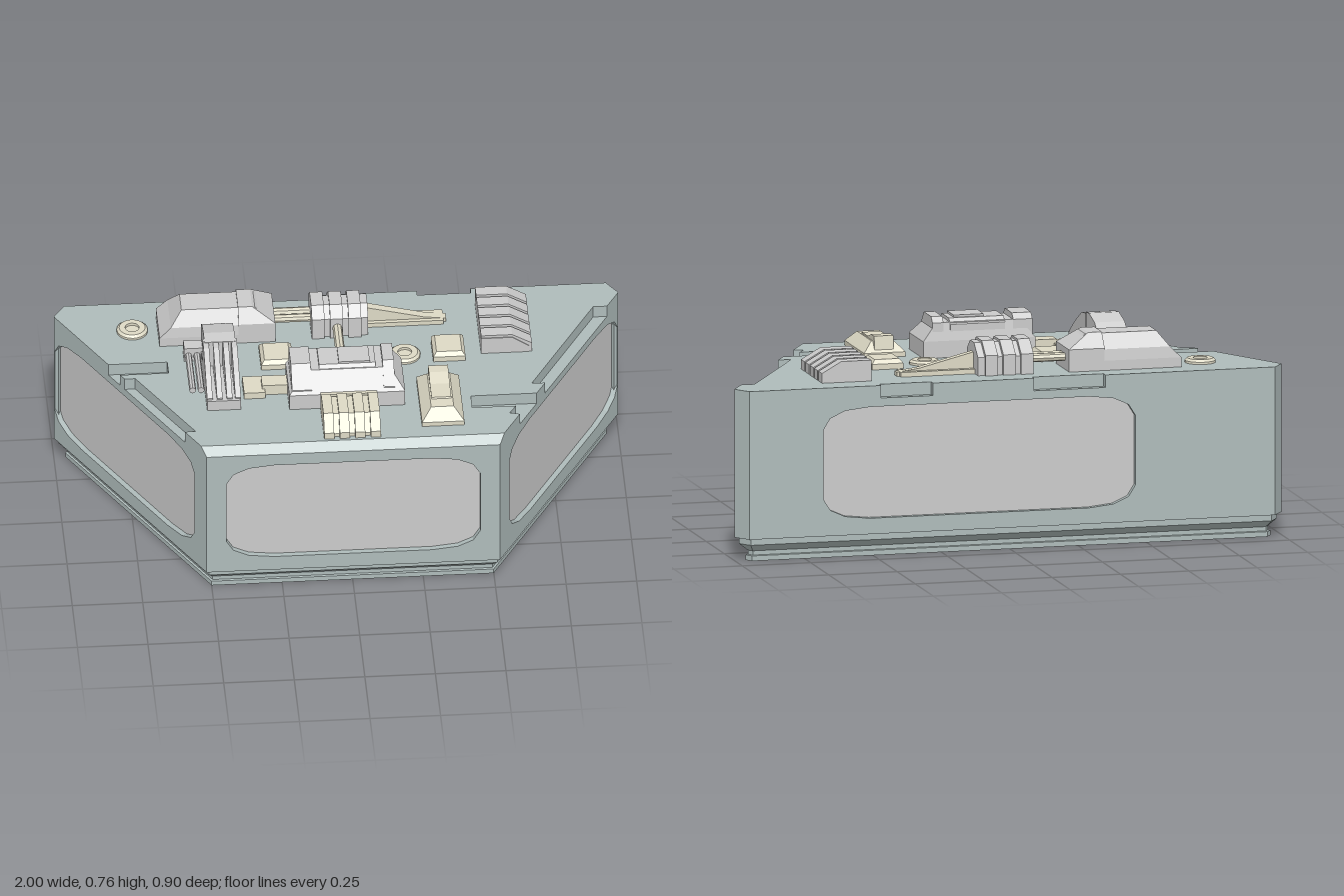
import * as THREE from 'three';

const mat = (color) => new THREE.MeshStandardMaterial({ color, flatShading: true });
const HULL = mat(0xafbcbb), GREY = mat(0xcccccc), BEIGE = mat(0xdedac6);
const ROOF = 0.615;

function add(parent, name, geometry, material) {
  const mesh = new THREE.Mesh(geometry, material);
  mesh.name = name;
  parent.add(mesh);
  return mesh;
}

// Closed solid through stacked rings of [x, y, z] points
function loft(rings) {
  const pos = [], n = rings[0].length, top = rings[rings.length - 1], low = rings[0];
  const tri = (...p) => p.forEach((q) => pos.push(...q));
  for (let i = 0; i + 1 < rings.length; i++) {
    for (let j = 0; j < n; j++) {
      const k = (j + 1) % n, a = rings[i], b = rings[i + 1];
      tri(a[j], a[k], b[k]);
      tri(a[j], b[k], b[j]);
    }
  }
  for (let j = 1; j + 1 < n; j++) {
    tri(top[0], top[j], top[j + 1]);
    tri(low[0], low[j + 1], low[j]);
  }
  const g = new THREE.BufferGeometry();
  g.setAttribute('position', new THREE.Float32BufferAttribute(pos, 3));
  g.computeVertexNormals();
  return g;
}

// Hull outline moved inwards by d, at height y
function outline(d, y) {
  const half = [[0.52 - 0.58 * d, 0.45 - d], [1 - 1.175 * d, -0.39 + 0.04 * d], [0.96 - 0.535 * d, -0.45 + d]];
  const mirrored = half.map(([x, z]) => [-x, z]).reverse();
  return [...half, ...mirrored].map(([x, z]) => [x, y, z]);
}
const edgeX = (z) => 1 - 0.5714 * (z + 0.39);

// Stepped or tapered block: each level is [x0, x1, z0, z1, y]
const block = (...levels) => loft(levels.map(([x0, x1, z0, z1, y]) =>
  [[x1, y, z1], [x1, y, z0], [x0, y, z0], [x0, y, z1]]));
const box = (x0, x1, z0, z1, y1, y0 = ROOF) => block([x0, x1, z0, z1, y0], [x0, x1, z0, z1, y1]);

const shapeOf = (pts) => new THREE.Shape(pts.map(([a, b]) => new THREE.Vector2(a, b)));
const extrude = (shape, depth) => new THREE.ExtrudeGeometry(shape, { depth, bevelEnabled: false });
// Profile of (z, y) points swept from x0 to x1
const sweepX = (pts, x0, x1) =>
  extrude(shapeOf(pts.map(([z, y]) => [-z, y])), x1 - x0).rotateY(Math.PI / 2).translate(x0, 0, 0);
// Profile of (x, y) points swept from z0 to z1
const sweepZ = (pts, z0, z1) => extrude(shapeOf(pts), z1 - z0).translate(0, 0, z0);

function rod(parent, name, from, to, r, material) {
  const a = new THREE.Vector3(...from), b = new THREE.Vector3(...to);
  const m = add(parent, name, new THREE.CylinderGeometry(r, r, a.distanceTo(b), 8), material);
  m.position.copy(a).add(b).multiplyScalar(0.5);
  m.quaternion.setFromUnitVectors(new THREE.Vector3(0, 1, 0), b.sub(a).normalize());
}

// Wall slab from corner a to corner b, with an optional soft-cornered opening
function wall(parent, name, a, b, opening) {
  const A = new THREE.Vector3(...a), u = new THREE.Vector3(...b).sub(A), len = u.length(), d = 0.02;
  u.normalize();
  const up = new THREE.Vector3(0, 1, 0), n = u.clone().cross(up);
  const shape = shapeOf([[0, 0.085], [len, 0.085], [len, 0.565], [0, 0.565]]);
  if (opening) {
    const [u0, u1] = opening, v0 = 0.14, v1 = 0.54;
    const c = [[0, 0.075], [0.025, 0.035], [0.08, 0.01], [0.17, 0]], r = [...c].reverse();
    shape.holes.push(new THREE.Path([
      ...c.map(([p, q]) => [u0 + p, v0 + q]), ...r.map(([p, q]) => [u1 - p, v0 + q]),
      ...c.map(([p, q]) => [u1 - p, v1 - q]), ...r.map(([p, q]) => [u0 + p, v1 - q]),
    ].map(([p, q]) => new THREE.Vector2(p, q))));
  }
  const g = extrude(shape, d);
  g.applyMatrix4(new THREE.Matrix4().makeBasis(u, up, n).setPosition(A.addScaledVector(n, -d)));
  add(parent, name, g, HULL);
}

function buildHull(g) {
  // Stepped plinth
  add(g, 'plinth', loft([[0.035, 0], [0.035, 0.018], [0.042, 0.02], [0.042, 0.035], [0.015, 0.06],
    [0.015, 0.082], [0, 0.083], [0, 0.09]].map(([d, y]) => outline(d, y))), HULL);
  // Inset core shows through the wall openings as panels
  add(g, 'panelCore', loft([outline(0.02, 0.085), outline(0.02, 0.563)]), GREY);
  const c = outline(0, 0);
  wall(g, 'leftWall', c[0], c[1], [0.075, 0.962]);
  wall(g, 'backLeftChamfer', c[1], c[2]);
  wall(g, 'backWall', c[2], c[3], [0.27, 1.41]);
  wall(g, 'backRightChamfer', c[3], c[4]);
  wall(g, 'rightWall', c[4], c[5], [0.005, 0.892]);
  wall(g, 'frontWall', c[5], c[0], [0.07, 0.97]);
  add(g, 'deck', loft([outline(0, 0.56), outline(0, 0.57)]), HULL);
  // Roof plate with edge notches
  const e = (z, s = 1) => [s * edgeX(z), z];
  const roof = [e(0.42), e(0.31), [0.565, 0.3], [0.59, 0.26], [0.435, 0.26], [0.435, 0.19], e(0.19),
    e(0.13), [0.655, 0.13], [0.905, -0.31], e(-0.31), [1, -0.39], [0.96, -0.45],
    [0.48, -0.45], [0.48, -0.425], [0.29, -0.425], [0.29, -0.45],
    [-0.08, -0.45], [-0.08, -0.425], [-0.34, -0.425], [-0.34, -0.45], [-0.96, -0.45], [-1, -0.39],
    e(-0.09, -1), [-0.62, -0.09], [-0.62, -0.025], e(-0.025, -1), e(0, -1), [-0.74, 0], [-0.55, 0.33],
    e(0.33, -1), e(0.42, -1)];
  add(g, 'roofPlate', extrude(shapeOf(roof.map(([x, z]) => [x, -z])), ROOF - 0.57)
    .rotateX(-Math.PI / 2).translate(0, 0.57, 0), HULL);
  // Bevelled front edge with ends following the side walls
  const lip = sweepX([[0.42, 0.57], [0.45, 0.57], [0.45, 0.587], [0.42, ROOF]], -1, 1);
  const p = lip.attributes.position;
  for (let i = 0; i < p.count; i++) p.setX(i, Math.sign(p.getX(i)) * edgeX(p.getZ(i)));
  lip.computeVertexNormals();
  add(g, 'frontBevel', lip, HULL);
}

function buildMachinery(g) {
  // Tapered tank at the back right
  add(g, 'tank', block([-0.64, -0.235, -0.365, -0.185, ROOF], [-0.64, -0.235, -0.365, -0.185, 0.65],
    [-0.6, -0.235, -0.36, -0.19, 0.69], [-0.56, -0.3, -0.32, -0.225, 0.742]), GREY);
  add(g, 'tankCollar', block([-0.36, -0.23, -0.365, -0.185, ROOF], [-0.36, -0.23, -0.365, -0.185, 0.695],
    [-0.36, -0.31, -0.325, -0.22, 0.747]), GREY);

  // Stepped pump block at the back, with connecting rods
  const pump = (s) => [[-0.19 - s, ROOF], [-0.19 - s, 0.69], [-0.23 - s, 0.725], [-0.31 + s, 0.725], [-0.365 + s, 0.68], [-0.365 + s, ROOF]];
  add(g, 'pump', sweepX(pump(0.012), -0.1, 0.1), GREY);
  for (const x of [-0.1, -0.035, 0.03]) {
    add(g, 'pumpRib', sweepX(pump(0).map(([z, y]) => [z, y + (y > 0.65 ? 0.008 : 0)]), x, x + 0.045), GREY);
  }
  for (const z of [-0.3, -0.26]) rod(g, 'tankRod', [-0.25, 0.66, z], [-0.09, 0.66, z], 0.015, BEIGE);
  rod(g, 'centreRod', [-0.01, 0.66, -0.2], [-0.01, 0.66, 0.04], 0.017, BEIGE);
  add(g, 'wedge', sweepZ([[0.1, ROOF], [0.38, ROOF], [0.38, 0.63], [0.3, 0.64], [0.1, 0.69]], -0.29, -0.26), BEIGE);
  add(g, 'wedgeFoot', box(0.1, 0.37, -0.31, -0.245, 0.632), BEIGE);

  // Main engine block
  add(g, 'engine', block([-0.21, 0.2, 0.025, 0.225, ROOF], [-0.21, 0.2, 0.025, 0.225, 0.675],
    [-0.15, 0.15, 0.035, 0.165, 0.74]), GREY);
  const hood = [[0.215, 0.66], [0.215, 0.69], [0.15, 0.76], [0.05, 0.76], [0.03, 0.74], [0.03, 0.66]];
  add(g, 'engineEnd', sweepX(hood, -0.2, -0.13), GREY);
  add(g, 'engineEnd', sweepX(hood, 0.125, 0.165), GREY);
  add(g, 'engineHood', sweepX(hood.map(([z, y]) => [z, y - 0.008]), -0.1, 0.1), GREY);
  add(g, 'engineCap', box(-0.03, 0.08, 0.06, 0.15, 0.76, 0.7), GREY);
  add(g, 'engineSill', box(-0.1, 0.1, 0.2, 0.235, 0.68), BEIGE);
  add(g, 'enginePipeBase', box(-0.365, -0.29, 0.05, 0.15, 0.64), BEIGE);
  add(g, 'enginePipe', box(-0.3, -0.2, 0.07, 0.13, 0.655), BEIGE);

  // Slatted generator on the right
  add(g, 'generatorBase', box(-0.5, -0.38, -0.16, 0.21, 0.655), GREY);
  add(g, 'generatorHead', sweepX([[-0.165, ROOF], [-0.165, 0.72], [-0.13, 0.745], [-0.05, 0.765], [0, 0.76], [0, ROOF]], -0.495, -0.385), GREY);
  for (const x of [-0.5, -0.465, -0.43, -0.4]) {
    add(g, 'generatorSlat', sweepX([[-0.02, ROOF], [-0.02, 0.76], [0.03, 0.755], [0.12, 0.71], [0.2, 0.66], [0.2, ROOF]], x, x + 0.02), GREY);
  }
  add(g, 'generatorBracket', box(-0.56, -0.49, -0.14, -0.09, 0.67), GREY);
  for (const x of [-0.545, -0.515]) {
    rod(g, 'generatorPipe', [x, 0.64, -0.12], [x, 0.64, 0.12], 0.012, GREY);
  }

  // Ribbed front vent
  const vent = (d) => [[0.41 - d, ROOF], [0.41 - d, 0.64 - d], [0.365 - d, 0.695 - d], [0.25, 0.695 - d], [0.25, ROOF]];
  add(g, 'frontVent', sweepX(vent(0.012), -0.1, 0.1), BEIGE);
  for (let i = 0; i < 4; i++) add(g, 'frontVentRib', sweepX(vent(0), -0.1 + i * 0.055, -0.065 + i * 0.055), BEIGE);

  // Beige hatch housing at the front left
  add(g, 'hatchHousing', block([0.25, 0.4, 0.085, 0.36, ROOF], [0.25, 0.4, 0.085, 0.36, 0.632],
    [0.285, 0.365, 0.12, 0.32, 0.67]), BEIGE);
  add(g, 'hatchHood', sweepX([[0.09, ROOF], [0.1, 0.69], [0.14, 0.69], [0.19, 0.675], [0.27, 0.675], [0.29, 0.64], [0.29, ROOF]], 0.29, 0.36), BEIGE);

  // Louvred cooler at the left
  const cooler = (d) => [[0.49, ROOF], [0.49, 0.69 - d], [0.6, 0.69 - d], [0.67 - d, 0.65 - d], [0.67 - d, ROOF]];
  add(g, 'cooler', sweepZ(cooler(0.01), -0.35, -0.06), GREY);
  for (let i = 0; i < 5; i++) {
    add(g, 'coolerLouvre', sweepZ(cooler(0), -0.355 + i * 0.061, -0.307 + i * 0.061), GREY);
  }

  // Round ports
  for (const [x, z] of [[-0.73, -0.285], [0.22, -0.07]]) {
    const ring = [[0.025, 0], [0.055, 0], [0.055, 0.008], [0.046, 0.016], [0.025, 0.016], [0.025, 0]];
    const port = add(g, 'portRing', new THREE.LatheGeometry(ring.map(([r, y]) => new THREE.Vector2(r, y)), 24), BEIGE);
    port.position.set(x, ROOF, z);
    const floor = add(g, 'portFloor', new THREE.CylinderGeometry(0.027, 0.027, 0.006, 24), BEIGE);
    floor.position.set(x, ROOF + 0.003, z);
  }
  // Square hatches
  for (const [x, z] of [[-0.235, -0.08], [0.375, -0.085]]) {
    add(g, 'squareHatch', block([x - 0.057, x + 0.057, z - 0.062, z + 0.062, ROOF],
      [x - 0.057, x + 0.057, z - 0.062, z + 0.062, 0.635], [x - 0.045, x + 0.045, z - 0.05, z + 0.05, 0.65]), BEIGE);
  }
}

export function createModel() {
  const model = new THREE.Group();
  model.name = 'rooftopUnit';
  const hull = new THREE.Group(), machinery = new THREE.Group();
  hull.name = 'hull';
  machinery.name = 'roofMachinery';
  buildHull(hull);
  buildMachinery(machinery);
  model.add(hull, machinery);
  return model;
}
